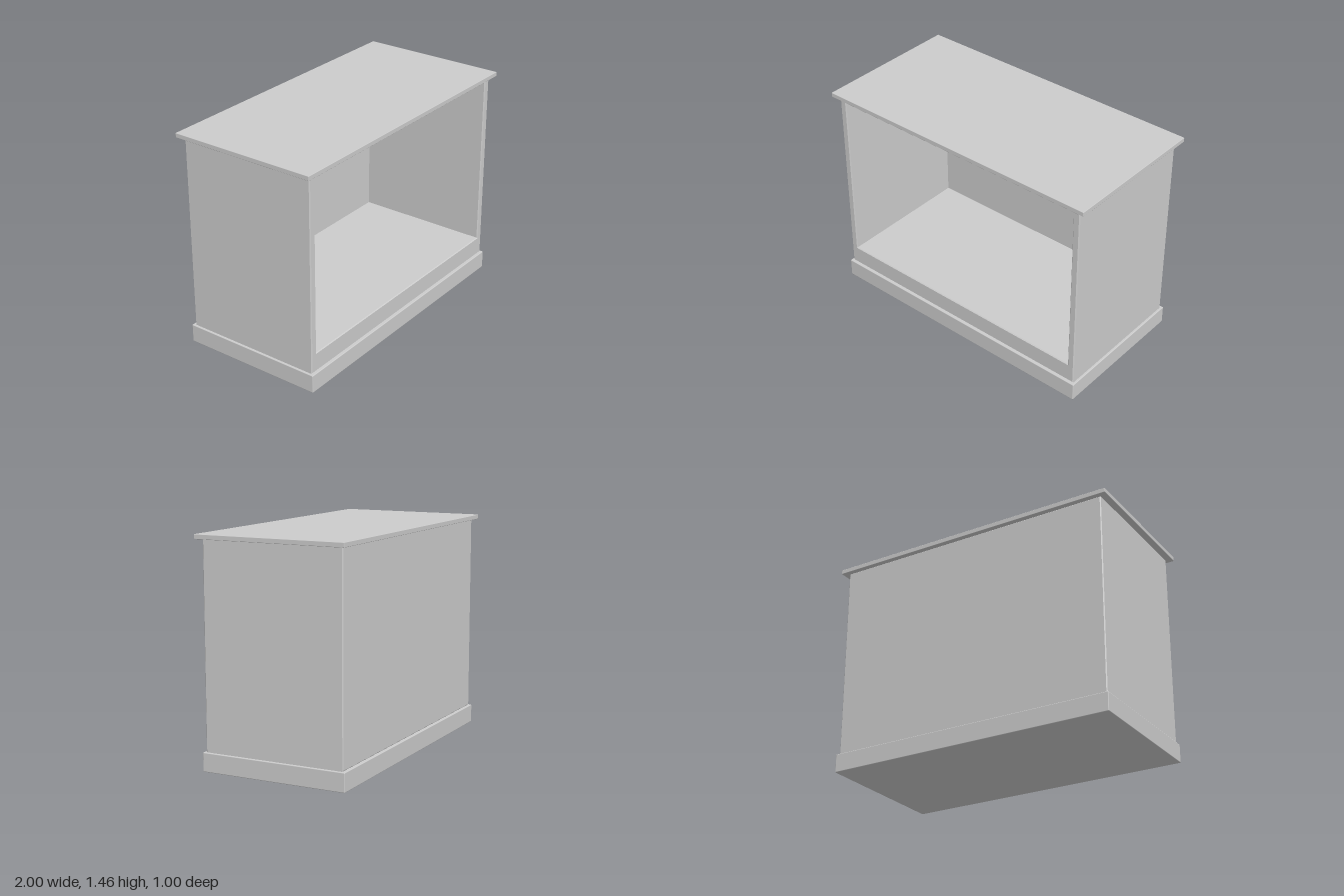
import * as THREE from 'three';
import { RoundedBoxGeometry } from 'three/addons/geometries/RoundedBoxGeometry.js';

const material = new THREE.MeshStandardMaterial({ color: 0xcccccc });

function addPart(group, name, geometry, y = 0, z = 0) {
  const mesh = new THREE.Mesh(geometry, material);
  mesh.name = name;
  mesh.position.set(0, y, z);
  group.add(mesh);
}

// Corner points of an upright rectangle centred on x = 0
function rectangle(halfWidth, bottom, top) {
  return [[-halfWidth, bottom], [halfWidth, bottom], [halfWidth, top], [-halfWidth, top]]
    .map(([x, y]) => new THREE.Vector2(x, y));
}

export function createModel() {
  const group = new THREE.Group();
  group.name = 'openCabinet';

  // Plinth and overhanging top board with softened edges
  addPart(group, 'plinth', new RoundedBoxGeometry(1.94, 0.122, 0.974, 2, 0.005), 0.061);
  addPart(group, 'topBoard', new RoundedBoxGeometry(2, 0.03, 1, 2, 0.003), 1.443);

  // Carcass: a chamfered frame around the opening, run through the full depth
  const bevel = 0.006;
  const depth = 0.94;
  const open = { halfWidth: 0.908, bottom: 0.25, top: 1.405 };
  const outline = new THREE.Shape(rectangle(0.955, 0.122, 1.43));
  outline.holes.push(new THREE.Path(rectangle(open.halfWidth, open.bottom, open.top).reverse()));
  const carcass = new THREE.ExtrudeGeometry(outline, {
    depth: depth - 2 * bevel,
    bevelEnabled: true,
    bevelThickness: bevel,
    bevelSize: bevel,
    bevelOffset: -bevel,
    bevelSegments: 1,
  });
  addPart(group, 'carcass', carcass, 0, -depth / 2 + bevel);

  // Back panel closes the frame flush with its rear face
  const thickness = 0.012;
  const back = new THREE.BoxGeometry(
    2 * (open.halfWidth + bevel), open.top - open.bottom + 2 * bevel, thickness);
  addPart(group, 'backPanel', back, (open.top + open.bottom) / 2, -depth / 2 + thickness / 2);

  return group;
}
